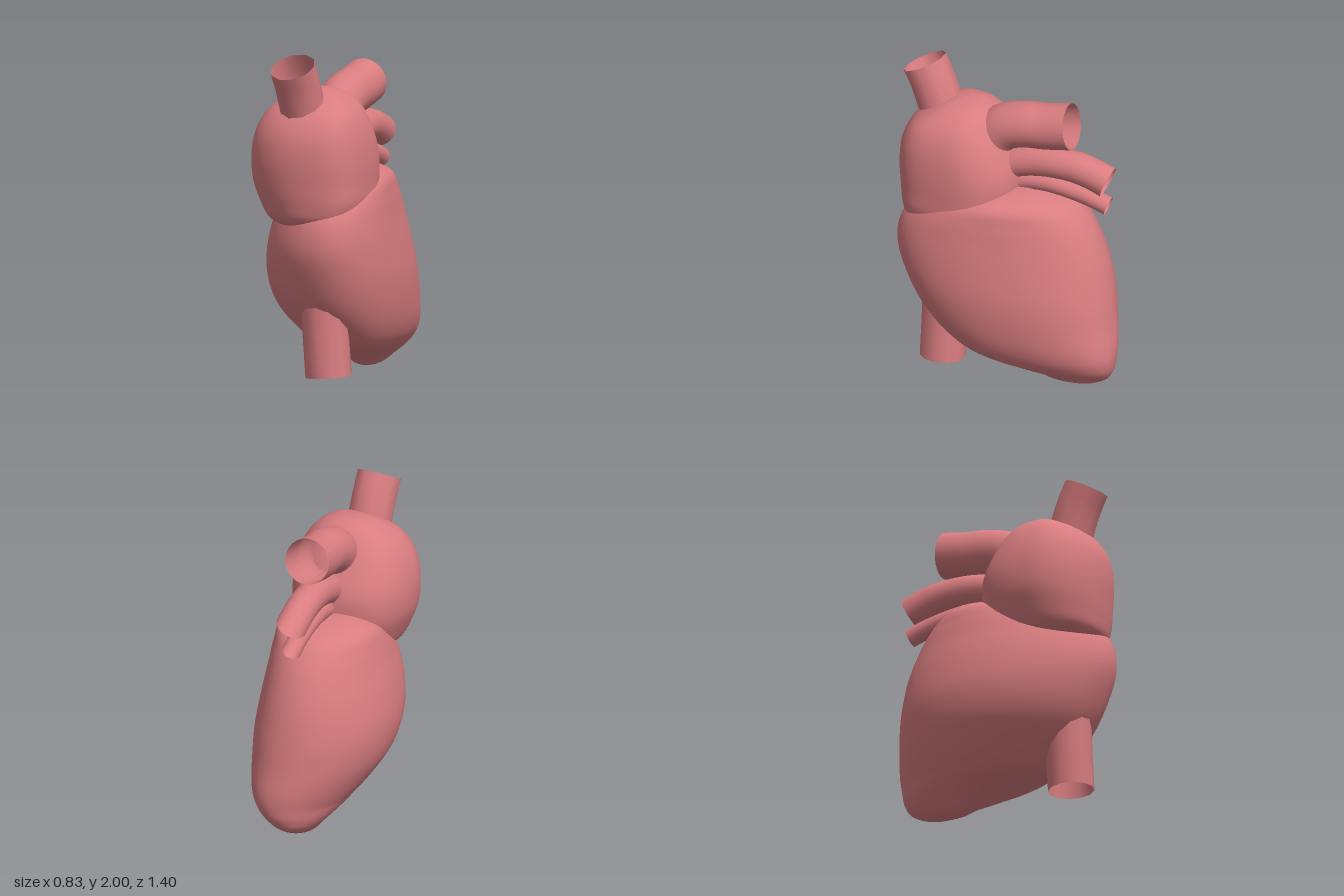
import * as THREE from 'three';

const material = new THREE.MeshStandardMaterial({ color: 0xd97d80, side: THREE.DoubleSide });

// Smooth closed skin over horizontal rings; rows are [y, zBack, zFront, xRight, xLeft].
// bendBack / bendFront push the back and front of every ring sideways,
// skew(y) swells one pair of opposite corners and flattens the other.
function loft(name, rows, power, bendBack, bendFront, skew) {
  const zs = new THREE.CatmullRomCurve3(rows.map(r => new THREE.Vector3(r[0], r[1], r[2])), false, 'centripetal');
  const xs = new THREE.CatmullRomCurve3(rows.map(r => new THREE.Vector3(r[0], r[3], r[4])), false, 'centripetal');
  const steps = (rows.length - 1) * 5, sides = 64;
  const positions = [], index = [];
  const soft = v => Math.sign(v) * Math.abs(v) ** power;
  for (let i = 0; i <= steps; i++) {
    const a = zs.getPoint(i / steps), b = xs.getPoint(i / steps);
    const width = (b.z - b.y) / 2, depth = (a.z - a.y) / 2;
    const fullness = Math.min(1, width / 0.3);
    for (let j = 0; j < sides; j++) {
      const t = j / sides * Math.PI * 2;
      const u = soft(Math.sin(t)), v = soft(Math.cos(t));
      const bend = (v > 0 ? bendFront : bendBack) * v * v * fullness;
      const swell = 1 + skew(a.x) * u * v;
      positions.push((b.y + b.z) / 2 + width * u * swell + bend, a.x, (a.y + a.z) / 2 + depth * v * swell);
      if (i < steps) {
        const p = i * sides + j, q = i * sides + (j + 1) % sides;
        index.push(p, q, q + sides, p, q + sides, p + sides);
      }
    }
  }
  const geometry = new THREE.BufferGeometry();
  geometry.setAttribute('position', new THREE.Float32BufferAttribute(positions, 3));
  geometry.setIndex(index);
  geometry.computeVertexNormals();
  const mesh = new THREE.Mesh(geometry, material);
  mesh.name = name;
  return mesh;
}

// Open-ended vessel along a curved path
function vessel(name, radius, sides, points) {
  const path = new THREE.CatmullRomCurve3(points.map(p => new THREE.Vector3(...p)));
  const mesh = new THREE.Mesh(new THREE.TubeGeometry(path, 20, radius, sides, false), material);
  mesh.name = name;
  return mesh;
}

export function createModel() {
  const model = new THREE.Group();
  model.name = 'heart';

  // Large lower chambers, apex swept to the back
  model.add(loft('ventricles', [
    [0, -0.4, -0.4, 0.03, 0.03],
    [0.02, -0.53, -0.27, -0.04, 0.11],
    [0.07, -0.63, -0.17, -0.09, 0.17],
    [0.13, -0.675, 0.0, -0.15, 0.25],
    [0.2, -0.695, 0.23, -0.21, 0.32],
    [0.3, -0.7, 0.375, -0.29, 0.37],
    [0.45, -0.68, 0.52, -0.38, 0.4],
    [0.63, -0.655, 0.615, -0.42, 0.41],
    [0.83, -0.61, 0.67, -0.4, 0.39],
    [1.0, -0.545, 0.64, -0.355, 0.365],
    [1.12, -0.475, 0.54, -0.32, 0.345],
    [1.2, -0.4, 0.38, -0.285, 0.32],
    [1.25, -0.28, 0.2, -0.21, 0.255],
    [1.275, -0.15, 0.08, -0.11, 0.16],
    [1.28, -0.04, -0.04, 0.03, 0.03],
  ], 0.95, 0.065, 0.06, y => 0.14 * y * y));

  // Rounded upper chamber at the front
  model.add(loft('atrium', [
    [0.92, 0.27, 0.27, -0.08, -0.08],
    [0.95, 0.1, 0.52, -0.2, 0.14],
    [1.01, 0.0, 0.63, -0.3, 0.26],
    [1.1, -0.04, 0.655, -0.35, 0.315],
    [1.22, -0.07, 0.67, -0.395, 0.325],
    [1.37, -0.07, 0.68, -0.405, 0.325],
    [1.52, -0.01, 0.66, -0.375, 0.305],
    [1.64, 0.06, 0.59, -0.31, 0.26],
    [1.73, 0.13, 0.46, -0.2, 0.175],
    [1.77, 0.2, 0.36, -0.11, 0.08],
    [1.78, 0.28, 0.28, -0.03, -0.03],
  ], 0.86, -0.04, 0.085, () => -0.1));

  // Veins above and below
  model.add(vessel('upperVein', 0.138, 10, [[-0.04, 1.5, 0.42], [-0.055, 1.69, 0.475], [-0.065, 1.82, 0.523], [-0.075, 1.935, 0.58]]));
  model.add(vessel('lowerVein', 0.14, 12, [[0.05, 0.6, 0.4], [0.065, 0.35, 0.4], [0.088, 0.05, 0.405]]));

  // Arteries sweeping to the back
  model.add(vessel('largeArtery', 0.141, 24, [[0.01, 1.52, 0.15], [0.01, 1.635, 0.04], [0.012, 1.68, -0.1], [0.012, 1.69, -0.22], [0.015, 1.718, -0.388]]));
  model.add(vessel('middleArtery', 0.096, 20, [[0.02, 1.36, 0.1], [0.02, 1.43, -0.07], [0.022, 1.46, -0.25], [0.022, 1.45, -0.43], [0.023, 1.42, -0.54], [0.025, 1.387, -0.622]]));
  model.add(vessel('smallArtery', 0.058, 16, [[0.02, 1.24, 0.08], [0.02, 1.3, -0.08], [0.022, 1.315, -0.22], [0.024, 1.292, -0.4], [0.025, 1.26, -0.53], [0.025, 1.226, -0.625]]));

  return model;
}
